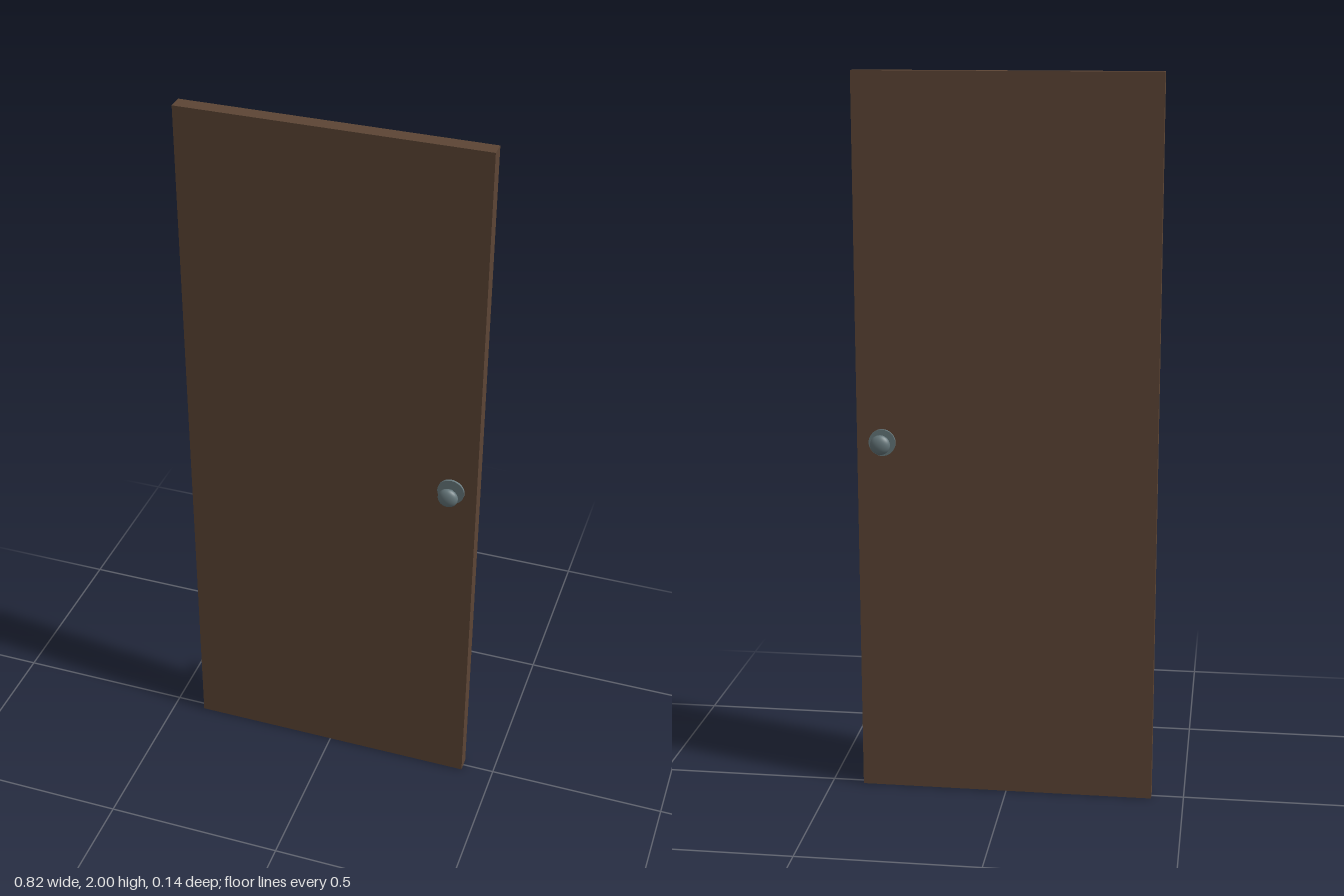
import * as THREE from 'three';

const wood = new THREE.MeshStandardMaterial({ color: 0x5c4535 });
const metal = new THREE.MeshStandardMaterial({ color: 0x66777b });

function part(name, geometry, material) {
  const mesh = new THREE.Mesh(geometry, material);
  mesh.name = name;
  return mesh;
}

// Round plate, stem and flattened knob, pointing along +z from the door's mid-plane
function createHandle(name) {
  const handle = new THREE.Group();
  handle.name = name;

  const plate = part('plate', new THREE.CylinderGeometry(0.037, 0.037, 0.012, 32), metal);
  plate.rotation.x = Math.PI / 2;
  plate.position.z = 0.0215;

  const stem = part('stem', new THREE.CylinderGeometry(0.0095, 0.0095, 0.03, 24), metal);
  stem.rotation.x = Math.PI / 2;
  stem.position.z = 0.037;

  const knob = part('knob', new THREE.SphereGeometry(0.0275, 32, 20).rotateX(Math.PI / 2), metal);
  knob.scale.z = 0.56;
  knob.position.z = 0.0545;

  handle.add(plate, stem, knob);
  return handle;
}

export function createModel() {
  const door = new THREE.Group();
  door.name = 'door';

  // Plain slab
  const slab = part('slab', new THREE.BoxGeometry(0.82, 2, 0.042), wood);
  slab.position.y = 1;
  door.add(slab);

  // One handle on each face
  for (const [name, turn] of [['frontHandle', 0], ['backHandle', Math.PI]]) {
    const handle = createHandle(name);
    handle.position.set(0.34, 1.005, 0);
    handle.rotation.y = turn;
    door.add(handle);
  }
  return door;
}
